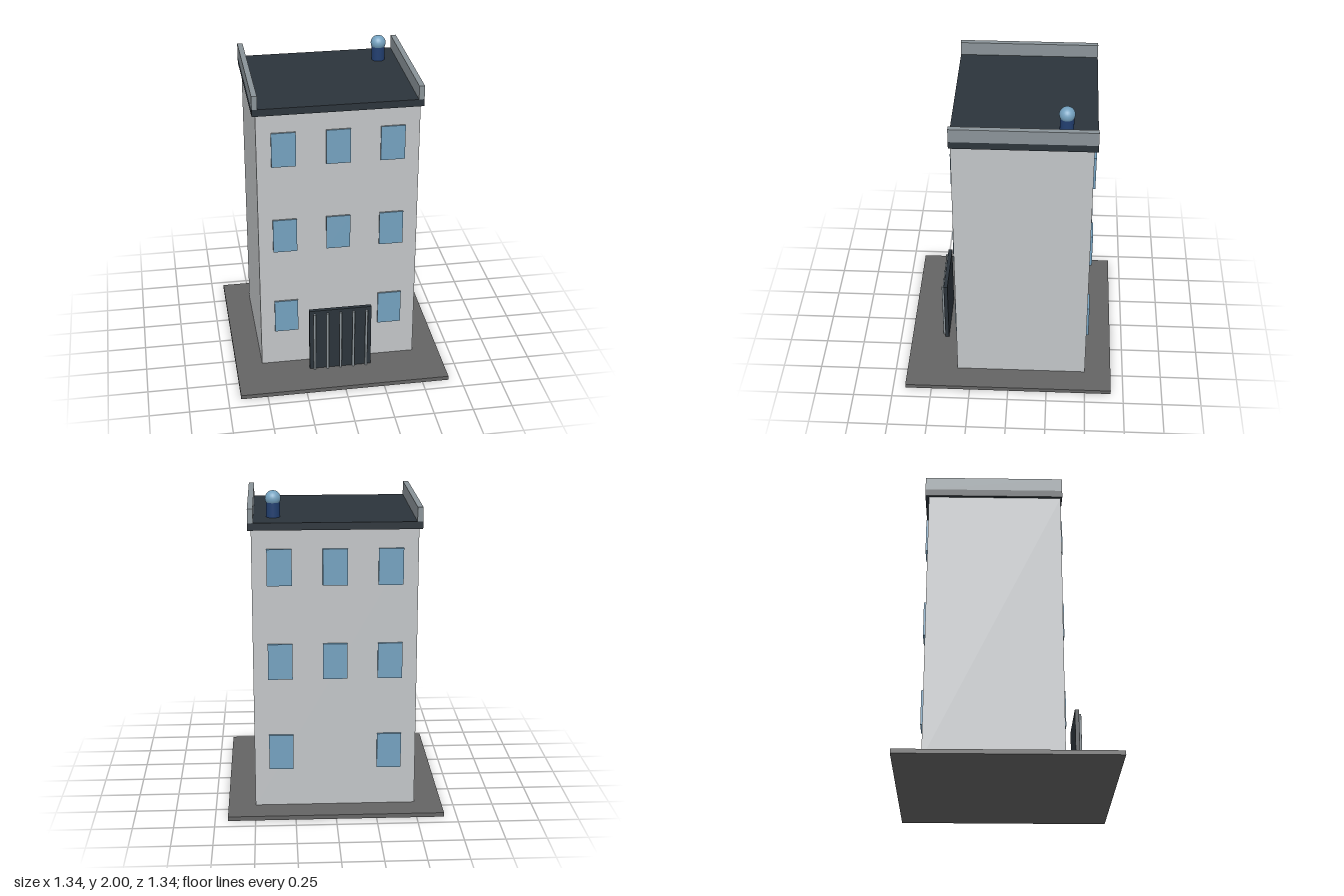
import * as THREE from 'three';

const paint = (name, color) => {
  const m = new THREE.MeshStandardMaterial({ color });
  m.name = name;
  return m;
};

export function createModel() {
  const wall = paint('wall grey', 0xc2c5c7);
  const dark = paint('dark slate', 0x2c343b);
  const trim = paint('trim grey', 0x8a9398);
  const glass = paint('window blue', 0x74a1bf);
  const paving = paint('paving grey', 0x646464);
  const navy = paint('tank navy', 0x223f70);
  const building = new THREE.Group();
  building.name = 'building';

  const add = (name, geometry, material, x, y, z) => {
    const mesh = new THREE.Mesh(geometry, material);
    mesh.name = name;
    mesh.position.set(x, y, z);
    building.add(mesh);
    return mesh;
  };
  // Box given by its lower and upper limits on each axis
  const box = (name, material, x0, x1, y0, y1, z0, z1) =>
    add(name, new THREE.BoxGeometry(x1 - x0, y1 - y0, z1 - z0), material,
      (x0 + x1) / 2, (y0 + y1) / 2, (z0 + z1) / 2);

  // Ground slab, walls and roof
  box('groundSlab', paving, -0.67, 0.67, 0, 0.027, -0.67, 0.67);
  box('walls', wall, -0.5, 0.5, 0.027, 1.795, -0.5, 0.34);
  box('roof', dark, -0.52, 0.52, 1.795, 1.84, -0.522, 0.35);
  for (const s of [-1, 1]) {
    const x = s * 0.503;
    box('parapet', trim, x - 0.017, x + 0.017, 1.84, 1.926, -0.522, 0.35);
  }

  // Windows on front and back; the ground floor has no middle one
  [0.387, 0.976, 1.566].forEach((y, floor) => {
    for (const x of [-0.335, 0, 0.335]) {
      if (floor === 0 && x === 0) continue;
      const x0 = x - 0.075, x1 = x + 0.075, y0 = y - 0.112, y1 = y + 0.112;
      box('frontWindowFrame', trim, x0, x1, y0, y1, 0.335, 0.348);
      box('frontWindow', glass, x0, x1, y0, y1, 0.348, 0.352);
      box('backWindow', glass, x0, x1, y0, y1, -0.516, -0.495);
    }
  });

  // Door behind the gate
  box('door', trim, -0.12, 0.12, 0.027, 0.4, 0.335, 0.356);

  // Free-standing gate with upright bars
  box('gate', dark, -0.2, 0.2, 0.027, 0.466, 0.422, 0.447);
  for (let i = -2; i <= 2; i++) {
    add('gateBar', new THREE.CylinderGeometry(0.008, 0.008, 0.418, 12), trim,
      i * 0.084, 0.236, 0.455);
  }

  // Rooftop tank with a ball on top
  add('tank', new THREE.CylinderGeometry(0.042, 0.042, 0.1, 24), navy, 0.367, 1.89, -0.335);
  add('tankBall', new THREE.SphereGeometry(0.048, 24, 16), glass, 0.367, 1.952, -0.335);

  return building;
}
